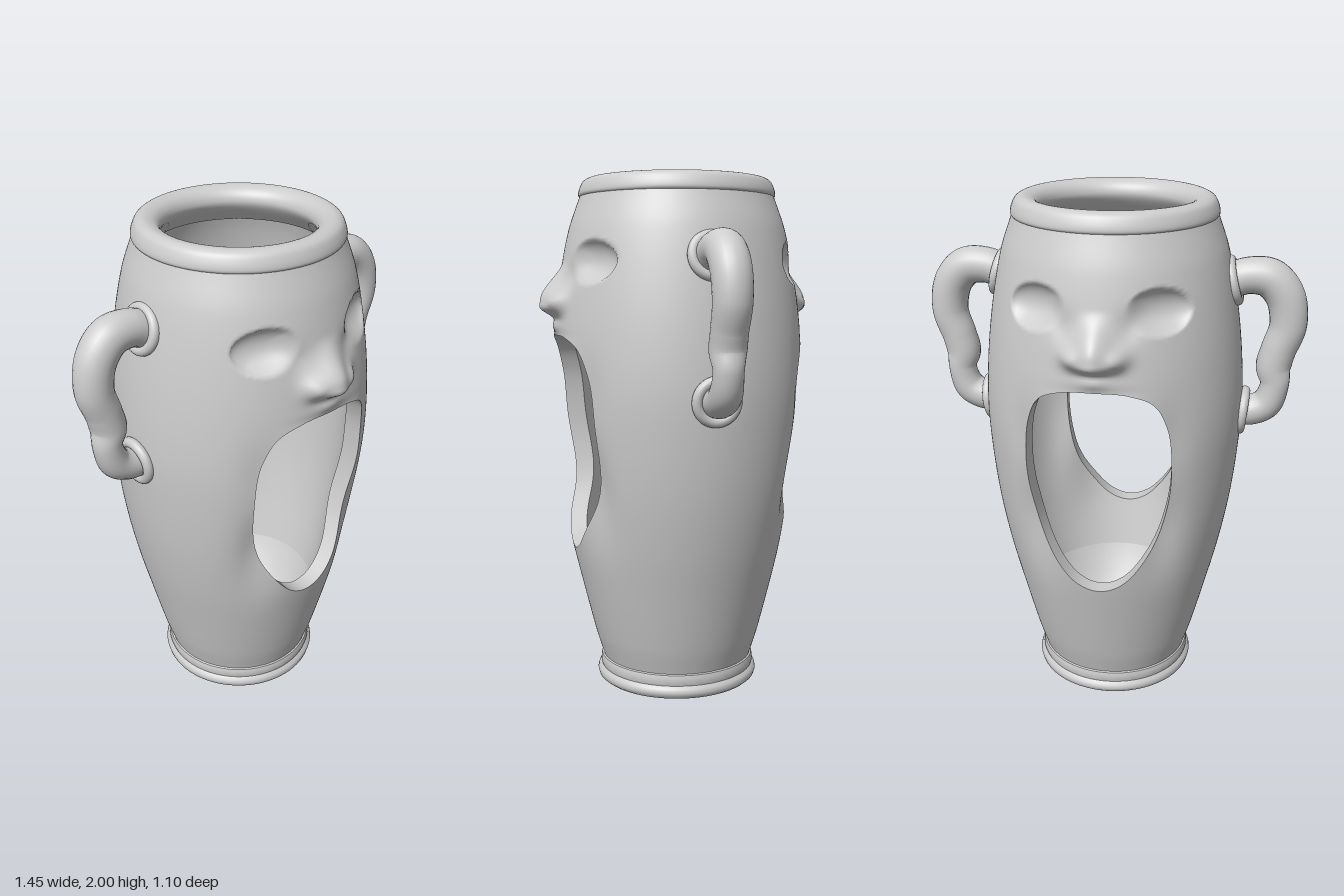
import * as THREE from 'three';
import { mergeGeometries, mergeVertices, toCreasedNormals } from 'three/addons/utils/BufferGeometryUtils.js';

const V2 = (x, y) => new THREE.Vector2(x, y);
const V3 = (x, y, z = 0) => new THREE.Vector3(x, y, z);
const smooth = THREE.MathUtils.smoothstep;

// Body radius at even height steps of 0.2
const radii = [0.28, 0.335, 0.385, 0.432, 0.468, 0.49, 0.5, 0.49, 0.465, 0.425, 0.362];
const profile = new THREE.SplineCurve(radii.map((r, i) => V2(r, i * 0.2)));
const bodyRadius = (y) => profile.getPoint(y / 2).x;
const THICK = 0.065;

// Egg-shaped mouth outline, right half mirrored to a closed loop from the top
const mouthHalf = [[0, 1.4], [0.12, 1.393], [0.205, 1.355], [0.252, 1.26], [0.27, 1.1],
  [0.257, 0.93], [0.205, 0.75], [0.11, 0.61], [0.05, 0.57], [0, 0.56]];
const mouthCurve = new THREE.CatmullRomCurve3([
  ...mouthHalf.map(([x, y]) => V3(x, y)),
  ...mouthHalf.slice(1, -1).reverse().map(([x, y]) => V3(-x, y)),
], true);
mouthCurve.arcLengthDivisions = 1000;

const gauss = (x, y, cx, cy, sx, sy) => Math.exp(-(((Math.abs(x) - cx) / sx) ** 2) - ((y - cy) / sy) ** 2);

// Sunken cheeks beside the mouth, shared by both skins
const cheeks = (x, y) => -0.042 * gauss(x, y, 0.23, 0.86, 0.085, 0.22) - 0.015 * gauss(x, y, 0.26, 1.2, 0.07, 0.14);

// Nose, nostrils, lip and hollow eyes on the outer skin
function face(x, y) {
  const ax = Math.abs(x);
  const width = 0.045 + 0.025 * smooth(1.68 - y, 0, 0.14);
  let h = 0.07 * smooth(1.69 - y, 0, 0.15) * smooth(y, 1.455, 1.51) * Math.exp(-((x / width) ** 2));
  h += 0.03 * gauss(x, y, 0.085, 1.527, 0.038, 0.034);
  h -= 0.012 * gauss(x, y, 0.12, 1.63, 0.045, 0.05);
  h += 0.01 * gauss(x, y, 0, 1.44, 0.05, 0.025);
  h -= 0.008 * gauss(x, y, 0, 1.4, 0.12, 0.02);
  const ex = (ax - 0.213) / 0.108;
  const ey = (y - 1.672 + (ax - 0.213) * 0.05) / 0.083;
  const d2 = ex * ex + ey * ey;
  if (d2 < 1) {
    const softness = THREE.MathUtils.clamp(-(ex + ey) * 0.8, 0, 1);
    h -= 0.055 * Math.pow(1 - d2, 0.8 + softness);
  }
  return h;
}

// Loop samples: mouth position along the curve paired with a point on the panel border
const Y0 = 0.07, Y1 = 1.95, Q = Math.PI / 2;
function borderSamples(n) {
  const legs = [
    { n: Math.round(n * 0.28), from: [0, Y1], to: [Q, Y1], u: [0, 0.11] },
    { n: Math.round(n * 0.5), from: [Q, Y1], to: [Q, Y0], u: [0.11, 0.39] },
    { n: Math.round(n * 0.22), from: [Q, Y0], to: [0, Y0], u: [0.39, 0.5] },
  ];
  const half = [];
  for (const l of legs) {
    for (let i = 0; i < l.n; i++) {
      const t = i / l.n;
      half.push({
        a: THREE.MathUtils.lerp(l.from[0], l.to[0], t),
        y: THREE.MathUtils.lerp(l.from[1], l.to[1], t),
        m: mouthCurve.getPointAt(THREE.MathUtils.lerp(l.u[0], l.u[1], t)),
      });
    }
  }
  half.push({ a: 0, y: Y0, m: mouthCurve.getPointAt(0.5) });
  const mirrored = half.slice(0, -1).reverse().map((s) => ({ a: -s.a, y: s.y, m: V3(-s.m.x, s.m.y) }));
  return [...half, ...mirrored];
}

// Point on the outer skin (depth 0) or the inner skin (depth > 0)
function wallPoint(angle, y, depth) {
  const r = bodyRadius(y) - depth;
  const x = r * Math.sin(angle);
  const raised = cheeks(x, y) + (depth > 0 ? 0 : face(x, y));
  return V3(x, y, r * Math.cos(angle) + raised);
}
function mouthPoint(m, depth) {
  const narrowing = depth > 0 ? 0.97 : 1;
  return [Math.asin((m.x * narrowing) / (bodyRadius(m.y) - depth)), m.y];
}

// Skin a grid of points, rows running round the mouth
function gridGeometry(rows, flip) {
  const pos = [], index = [], k = rows[0].length;
  rows.forEach((row) => row.forEach((p) => pos.push(p.x, p.y, p.z)));
  for (let i = 0; i < rows.length - 1; i++) {
    for (let j = 0; j < k - 1; j++) {
      const a = i * k + j, b = a + k, c = b + 1, d = a + 1;
      if (flip) index.push(a, c, b, a, d, c);
      else index.push(a, b, c, a, c, d);
    }
  }
  const g = new THREE.BufferGeometry();
  g.setAttribute('position', new THREE.Float32BufferAttribute(pos, 3));
  g.setIndex(index);
  return g;
}

// Two identical halves, front and back, welded together
function bothSides(g) {
  const welded = mergeVertices(mergeGeometries([g, g.clone().rotateY(Math.PI)]), 1e-4);
  welded.computeVertexNormals();
  return welded;
}

function wall(samples, steps, depth) {
  const rows = samples.map((s) => {
    const [ma, my] = mouthPoint(s.m, depth);
    return Array.from({ length: steps + 1 }, (_, j) => {
      const t = j / steps;
      return wallPoint(THREE.MathUtils.lerp(ma, s.a, t), THREE.MathUtils.lerp(my, s.y, t), depth);
    });
  });
  return bothSides(gridGeometry(rows, depth > 0));
}

// Curved handle whose thickness varies along its length
function handleGeometry() {
  const path = new THREE.CatmullRomCurve3([
    [0.42, 1.685], [0.5, 1.713], [0.58, 1.705], [0.637, 1.64], [0.655, 1.53], [0.625, 1.43],
    [0.611, 1.365], [0.62, 1.295], [0.594, 1.215], [0.54, 1.183], [0.45, 1.18],
  ].map(([x, y]) => V3(x, y)));
  const thickness = new THREE.SplineCurve(
    [0.066, 0.068, 0.073, 0.073, 0.07, 0.067, 0.067, 0.055, 0.06, 0.06, 0.06].map((r, i) => V2(r, i)));
  const segs = 90, sides = 24;
  const g = new THREE.TubeGeometry(path, segs, 1, sides);
  const pos = g.attributes.position, v = V3(0, 0);
  for (let i = 0; i <= segs; i++) {
    const c = path.getPointAt(i / segs);
    const r = thickness.getPoint(path.getUtoTmapping(i / segs)).x;
    for (let j = 0; j <= sides; j++) {
      const k = i * (sides + 1) + j;
      v.fromBufferAttribute(pos, k).sub(c).multiplyScalar(r).add(c);
      pos.setXYZ(k, v.x, v.y, v.z);
    }
  }
  return g;
}

export function createModel() {
  const group = new THREE.Group();
  const clay = new THREE.MeshStandardMaterial({ color: 0xcccccc });
  clay.name = 'grey clay';
  const add = (name, geometry, parent = group) => {
    const mesh = new THREE.Mesh(geometry, clay);
    mesh.name = name;
    parent.add(mesh);
    return mesh;
  };
  const lathe = (pts) => new THREE.LatheGeometry(pts.map(([x, y]) => V2(x, y)), 96);

  // Hollow body with a face and an open mouth on both sides
  const fine = borderSamples(160);
  add('outerWall', wall(fine, 56, 0));
  add('innerWall', wall(borderSamples(80), 32, THICK));
  const edgeRows = fine.map((s) => [0, THICK].map((d) => wallPoint(...mouthPoint(s.m, d), d)));
  add('mouthEdges', bothSides(gridGeometry(edgeRows, true)));

  // Rounded lip at the top
  const lip = new THREE.SplineCurve([[0.376, 1.925], [0.385, 1.938], [0.379, 1.965], [0.364, 1.99], [0.335, 2],
    [0.298, 1.988], [0.278, 1.96], [0.283, 1.925], [0.335, 1.86]].map(([x, y]) => V2(x, y)));
  add('topLip', new THREE.LatheGeometry(lip.getPoints(40), 96));

  // Stepped foot with a recessed underside, and the bowl-shaped floor inside
  add('foot', toCreasedNormals(lathe([[0, 0.014], [0.2, 0.014], [0.2, 0.003], [0.21, 0], [0.31, 0], [0.322, 0.01],
    [0.326, 0.025], [0.322, 0.04], [0.31, 0.05], [0.313, 0.06], [0.312, 0.08], [0.309, 0.092], [0.295, 0.1]]), 0.7));
  add('innerFloor', lathe([[0.315, 0.37], [0.265, 0.25], [0.2, 0.17], [0.1, 0.12], [0, 0.1]]));

  // Handles with collars where they meet the body
  const tube = handleGeometry();
  const collar = new THREE.TorusGeometry(0.075, 0.02, 14, 48);
  ['left', 'right'].forEach((side, i) => {
    const handle = new THREE.Group();
    handle.name = side + 'Handle';
    add('handleTube', tube, handle);
    for (const [name, at, dir] of [
      ['upperCollar', V3(0.447, 1.693), V3(1, 0.25)],
      ['lowerCollar', V3(0.502, 1.178), V3(1, -0.1)],
    ]) {
      const ring = add(name, collar, handle);
      ring.position.copy(at);
      ring.quaternion.setFromUnitVectors(V3(0, 0, 1), dir.normalize());
    }
    handle.rotation.y = i * Math.PI;
    group.add(handle);
  });
  return group;
}
